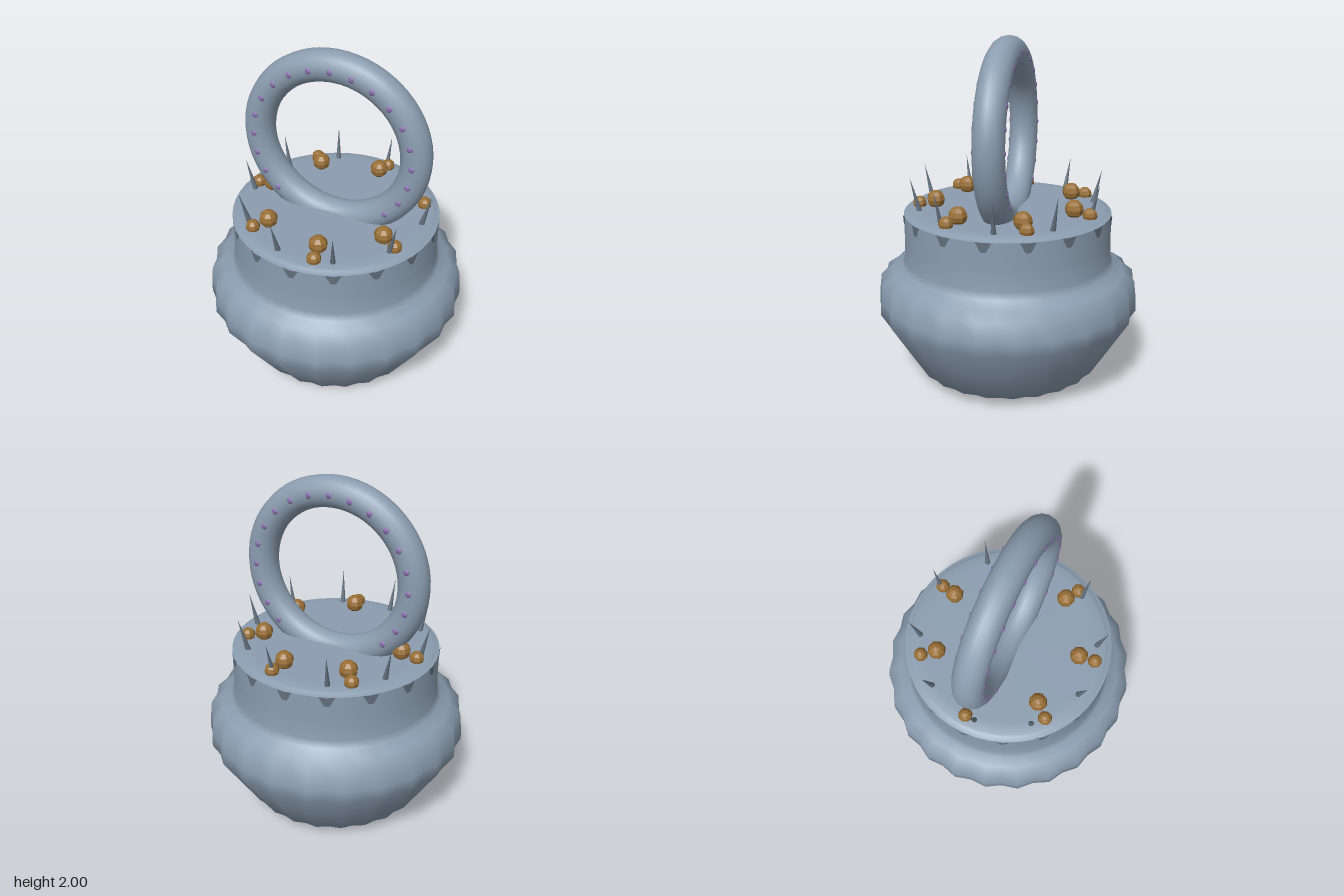
import * as THREE from 'three';
import { mergeVertices } from 'three/addons/utils/BufferGeometryUtils.js';

const LOBES = 24;

function material(name, color) {
  const m = new THREE.MeshStandardMaterial({ color });
  m.name = name;
  return m;
}

function lathe(points, segments) {
  return new THREE.LatheGeometry(points.map(([r, y]) => new THREE.Vector2(r, y)), segments);
}

// Faceted bead
function bead(radius) {
  const g = new THREE.SphereGeometry(radius, 8, 6).toNonIndexed();
  g.computeVertexNormals();
  return g;
}

// Lathed pot whose belly and base are scalloped into vertical lobes
function scallopedBody() {
  let g = lathe([
    [0, 0], [0.27, 0.033], [0.538, 0.065], [0.65, 0.25], [0.758, 0.43], [0.755, 0.5],
    [0.742, 0.61], [0.68, 0.655], [0.625, 0.69], [0.606, 0.73], [0.604, 0.85], [0.604, 1.0],
  ], LOBES * 2);
  g.deleteAttribute('normal');
  g.deleteAttribute('uv');
  g = mergeVertices(g, 1e-4);
  const p = g.attributes.position;
  for (let i = 0; i < p.count; i++) {
    const x = p.getX(i), z = p.getZ(i);
    const fade = 1 - THREE.MathUtils.smoothstep(p.getY(i), 0.6, 0.72);
    const k = 1 + 0.014 * fade * Math.cos(LOBES * Math.atan2(x, z));
    p.setX(i, x * k);
    p.setZ(i, z * k);
  }
  g.computeVertexNormals();
  return g;
}

export function createModel() {
  const model = new THREE.Group();
  model.name = 'spikedPot';
  const slate = material('slate', 0x8b9db0);
  const darkSlate = material('dark slate', 0x65727f);
  const bronze = material('bronze', 0x996f35);
  const purple = material('purple', 0x8a6fae);

  const add = (name, geometry, mat, parent = model) => {
    const mesh = new THREE.Mesh(geometry, mat);
    mesh.name = name;
    parent.add(mesh);
    return mesh;
  };
  const group = (name) => {
    const g = new THREE.Group();
    g.name = name;
    model.add(g);
    return g;
  };

  add('body', scallopedBody(), slate);

  // Slightly raised lid closing the neck
  add('lid', lathe([[0.604, 1.0], [0.575, 1.006], [0.565, 1.02], [0.5, 1.02], [0, 1.02]], 48), slate);

  // Dark angular band under the rim, only its corners break through the neck
  add('rimPatches', new THREE.CylinderGeometry(0.61, 0.606, 0.055, 16, 1, true), darkSlate)
    .position.y = 0.972;

  // Upright ring handle, sunk a little into the lid
  const ringY = 1.442, ringR = 0.47;
  add('ringHandle', new THREE.TorusGeometry(ringR, 0.088, 16, 64), slate).position.y = ringY;

  // Small studs on both faces of the ring, leaving out its foot
  const studs = group('ringStuds');
  const studGeometry = new THREE.SphereGeometry(0.02, 8, 6).scale(1, 1, 0.6);
  for (let i = -3; i <= 15; i++) {
    const a = (i / 24) * Math.PI * 2;
    for (const side of [1, -1]) {
      add('stud', studGeometry, purple, studs)
        .position.set(Math.cos(a) * ringR, ringY + Math.sin(a) * ringR, side * 0.081);
    }
  }

  // Seven pairs of beads, the smaller one outside
  const beads = group('beads');
  const bigBead = bead(0.054);
  const smallBead = bead(0.042);
  for (let i = 0; i < 7; i++) {
    const a = THREE.MathUtils.degToRad(28) + (i / 7) * Math.PI * 2;
    const c = Math.cos(a), s = Math.sin(a);
    add('largeBead', bigBead, bronze, beads).position.set(c * 0.42, 1.06, s * 0.42);
    add('smallBead', smallBead, bronze, beads).position.set(c * 0.515, 1.036, s * 0.515);
  }

  // Ten thin spikes leaning outwards
  const spikes = group('spikes');
  const spikeGeometry = new THREE.ConeGeometry(0.017, 0.215, 8).translate(0, 0.1075, 0);
  const up = new THREE.Vector3(0, 1, 0);
  for (let i = 0; i < 10; i++) {
    const a = THREE.MathUtils.degToRad(-4) + (i / 10) * Math.PI * 2;
    const c = Math.cos(a), s = Math.sin(a);
    const spike = add('spike', spikeGeometry, darkSlate, spikes);
    spike.position.set(c * 0.512, 1.005, s * 0.512);
    spike.quaternion.setFromUnitVectors(up, new THREE.Vector3(c * 0.25, 1, s * 0.25).normalize());
  }

  return model;
}
